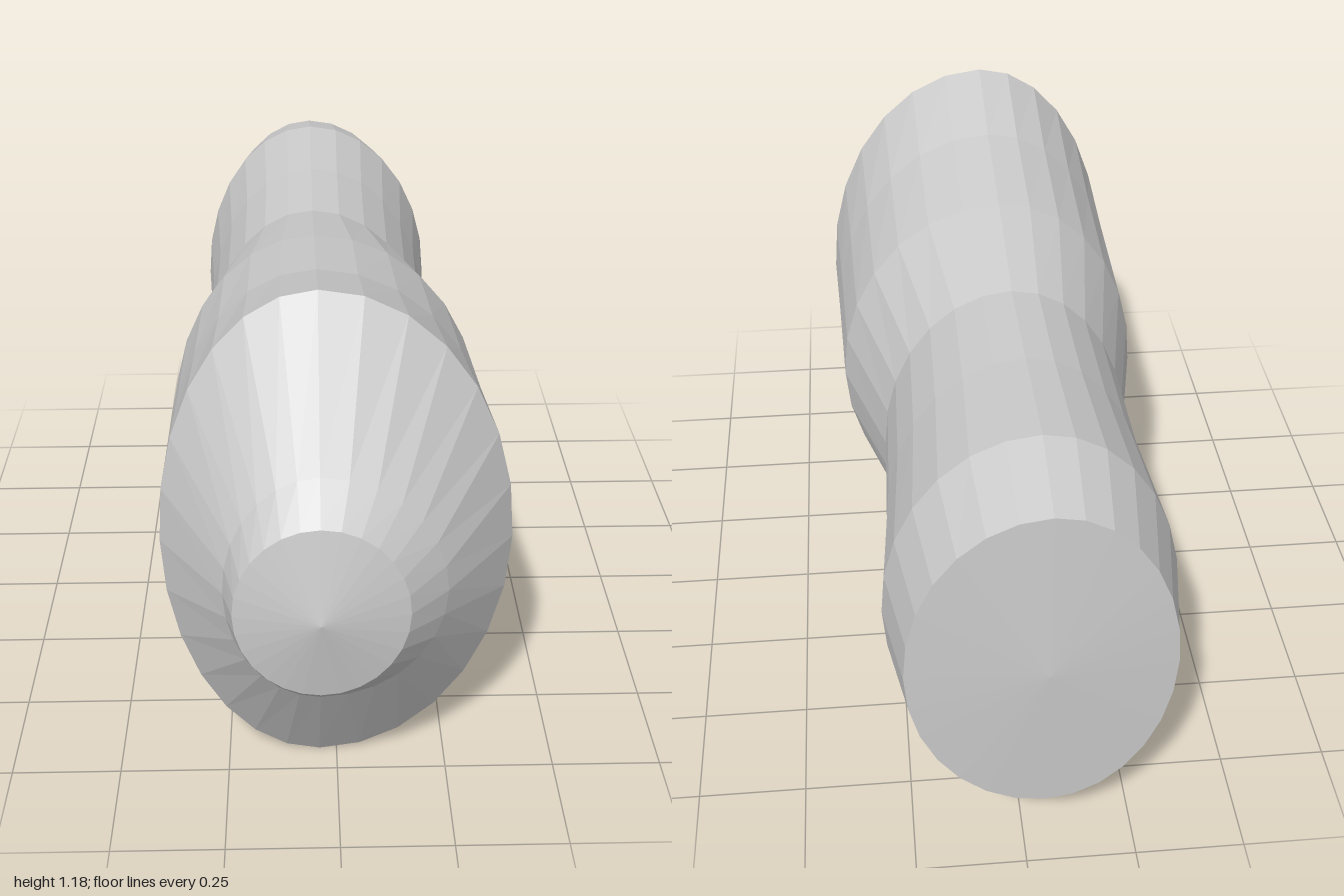
import * as THREE from 'three';

const SIDES = 28;
const AXIS_X = -0.04;

// Cross-sections from nose to tail: z, left edge x, right edge x, bottom y, top y
const SECTIONS = [
  [1.0, AXIS_X, AXIS_X, 0.594, 0.594],
  [0.96, -0.22, 0.143, 0.39, 0.797],
  [0.88, -0.242, 0.225, 0.32, 0.867],
  [0.68, -0.385, 0.382, 0.003, 1.183],
  [0.42, -0.385, 0.372, 0.075, 1.115],
  [0.12, -0.385, 0.362, 0.117, 1.072],
  [-0.19, -0.32, 0.267, 0.176, 1.015],
  [-0.48, -0.322, 0.275, 0.165, 1.025],
  [-0.78, -0.343, 0.297, 0.142, 1.046],
  [-0.98, -0.31, 0.26, 0.19, 1.0],
  [-1.0, AXIS_X, AXIS_X, 0.594, 0.594],
];

// Oval loft whose two halves may have different widths
function loft(sections) {
  const positions = [];
  const index = [];
  for (const [z, x0, x1, y0, y1] of sections) {
    for (let j = 0; j < SIDES; j++) {
      const t = (j / SIDES) * Math.PI * 2;
      const c = Math.cos(t);
      const rx = c > 0 ? x1 - AXIS_X : AXIS_X - x0;
      positions.push(AXIS_X + rx * c, (y0 + y1) / 2 + ((y1 - y0) / 2) * Math.sin(t), z);
    }
  }
  const isPoint = (s) => s[3] === s[4];
  for (let i = 0; i < sections.length - 1; i++) {
    for (let j = 0; j < SIDES; j++) {
      const k = (j + 1) % SIDES;
      const a = i * SIDES + j, b = i * SIDES + k;
      const c = a + SIDES, d = b + SIDES;
      if (!isPoint(sections[i])) index.push(a, c, b);
      if (!isPoint(sections[i + 1])) index.push(b, c, d);
    }
  }
  const geometry = new THREE.BufferGeometry();
  geometry.setAttribute('position', new THREE.Float32BufferAttribute(positions, 3));
  geometry.setIndex(index);
  const faceted = geometry.toNonIndexed();
  faceted.computeVertexNormals();
  return faceted;
}

export function createModel() {
  const group = new THREE.Group();
  const material = new THREE.MeshStandardMaterial({ color: 0xcccccc, flatShading: true });
  const parts = { noseCap: [0, 2], noseCone: [1, 4], body: [3, 10], tailCap: [9, 11] };
  for (const [name, [from, to]] of Object.entries(parts)) {
    const mesh = new THREE.Mesh(loft(SECTIONS.slice(from, to)), material);
    mesh.name = name;
    group.add(mesh);
  }
  return group;
}
